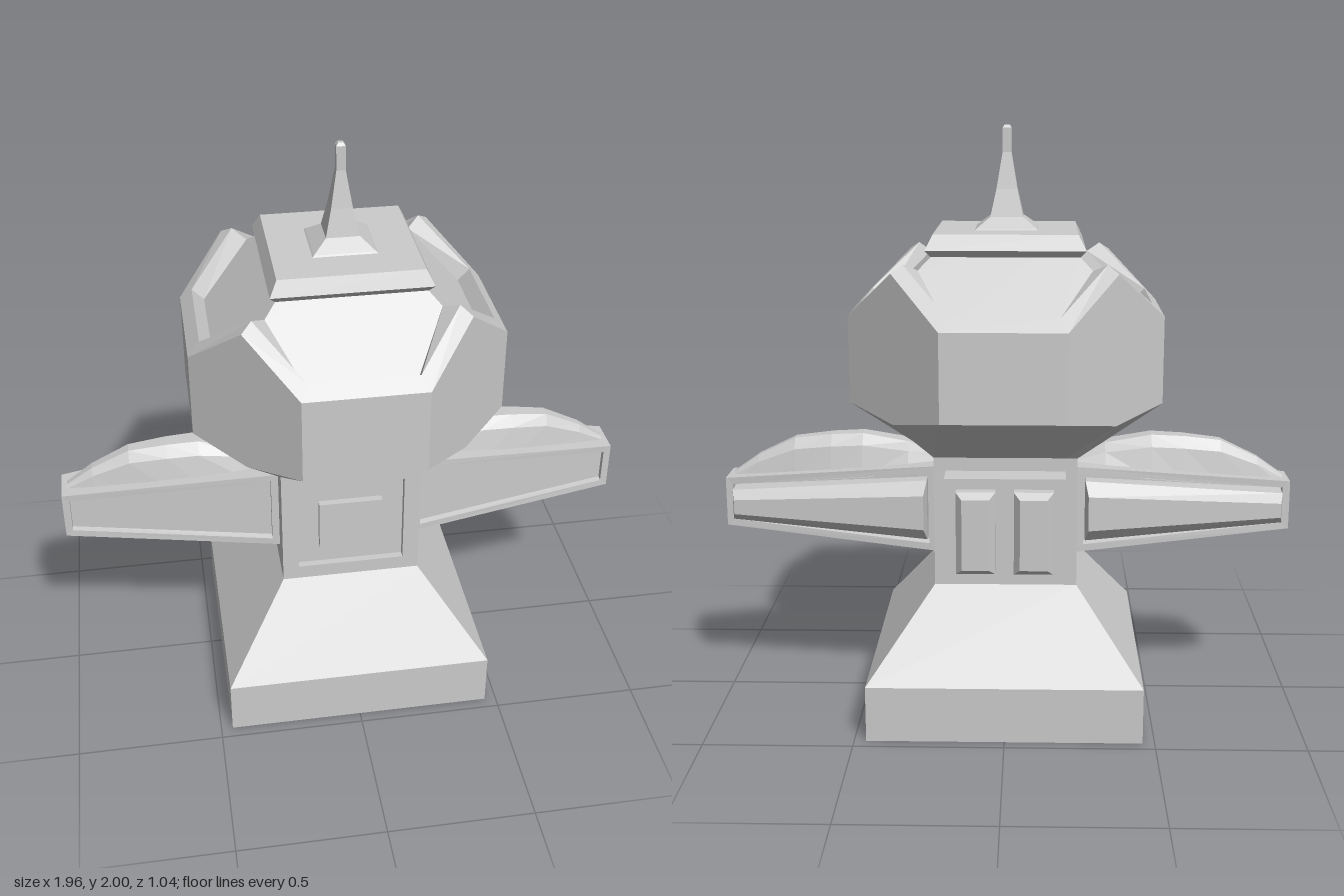
import * as THREE from 'three';

const material = new THREE.MeshStandardMaterial({ color: 0xcccccc, flatShading: true });

// Closed, flat-shaded solid through a list of equal-length rings of [x, y, z]
function loft(name, rings) {
  const tris = [];
  const n = rings[0].length;
  const center = (r) => [0, 1, 2].map((k) => r.reduce((s, p) => s + p[k], 0) / n);
  const first = rings[0], last = rings[rings.length - 1];
  const c0 = center(first), c1 = center(last);
  for (let j = 0; j < n; j++) {
    const k = (j + 1) % n;
    for (let i = 0; i < rings.length - 1; i++) {
      const a = rings[i], b = rings[i + 1];
      tris.push([a[j], a[k], b[k]], [a[j], b[k], b[j]]);
    }
    tris.push([c0, first[k], first[j]], [c1, last[j], last[k]]);
  }
  // Turn the faces outward whichever way the rings run
  const V = (p) => new THREE.Vector3(...p);
  const volume = tris.reduce((s, [a, b, c]) => s + V(a).dot(V(b).cross(V(c))), 0);
  if (volume < 0) tris.forEach((t) => t.reverse());
  const geometry = new THREE.BufferGeometry();
  geometry.setAttribute('position', new THREE.Float32BufferAttribute(tris.flat(2), 3));
  geometry.computeVertexNormals();
  const mesh = new THREE.Mesh(geometry, material);
  mesh.name = name;
  return mesh;
}

// Horizontal square ring
const square = (h, y) => [[h, y, h], [h, y, -h], [-h, y, -h], [-h, y, h]];

// Upright rectangle ring at depth z
const rect = (cx, cy, hx, hy, z) =>
  [[cx - hx, cy - hy, z], [cx + hx, cy - hy, z], [cx + hx, cy + hy, z], [cx - hx, cy + hy, z]];

// Twelve-point ring: two points on each side plus one on each diagonal
function headRing(a, d, y, c, cy) {
  const ring = [];
  for (let q = 0; q < 4; q++) {
    const cos = [1, 0, -1, 0][q], sin = [0, 1, 0, -1][q];
    for (const [x, py, z] of [[-a, y, d], [a, y, d], [c, cy, c]]) {
      ring.push([x * cos + z * sin, py, -x * sin + z * cos]);
    }
  }
  return ring;
}

function box(name, w, h, d, x, y, z) {
  const mesh = new THREE.Mesh(new THREE.BoxGeometry(w, h, d), material);
  mesh.position.set(x, y, z);
  mesh.name = name;
  return mesh;
}

function makeWing(side) {
  const wing = new THREE.Group();
  wing.name = side > 0 ? 'leftArm' : 'rightArm';

  // Tapered quad: root and tip given as [x, half height, z]
  const quad = ([x0, h0, z0], [x1, h1, z1]) => [
    [side * x0, 0.714 - h0, z0], [side * x1, 0.71 - h1, z1],
    [side * x1, 0.71 + h1, z1], [side * x0, 0.714 + h0, z0],
  ];

  // Arm with a sunken panel on both broad faces
  wing.add(loft('armFrame', [
    quad([0.265, 0.12, -0.115], [0.955, 0.06, -0.035]),
    quad([0.265, 0.125, -0.148], [0.955, 0.063, -0.067]),
    quad([0.22, 0.153, -0.153], [0.98, 0.085, -0.065]),
    quad([0.22, 0.153, 0.153], [0.98, 0.085, 0.065]),
    quad([0.265, 0.125, 0.148], [0.955, 0.063, 0.067]),
    quad([0.265, 0.12, 0.128], [0.955, 0.06, 0.047]),
  ]));

  // Bevelled pod filling the rear panel
  wing.add(loft('rearPod', [
    quad([0.27, 0.105, -0.11], [0.95, 0.055, -0.03]),
    quad([0.27, 0.105, -0.165], [0.95, 0.052, -0.1]),
    quad([0.28, 0.06, -0.205], [0.94, 0.025, -0.135]),
  ]));

  // Arched fin along the top
  const arch = [
    [0.23, 0.88, 0.105], [0.34, 0.922, 0.1], [0.5, 0.95, 0.09], [0.61, 0.945, 0.08],
    [0.74, 0.93, 0.062], [0.87, 0.868, 0.045], [0.96, 0.805, 0.03],
  ];
  wing.add(loft('topFin', arch.map(([x, top, w]) => {
    const base = 0.86 - (x - 0.24) * 0.09 - 0.03;
    const mid = base + (top - base) * 0.75;
    return [[w, base], [w * 0.72, mid], [w * 0.33, top], [-w * 0.33, top], [-w * 0.72, mid], [-w, base]]
      .map(([z, y]) => [side * x, y, z]);
  })));
  return wing;
}

export function createModel() {
  const model = new THREE.Group();
  model.name = 'figure';

  // Plinth
  model.add(loft('base', [square(0.46, 0), square(0.46, 0.19), square(0.24, 0.475)]));

  // Body with a framed front
  model.add(box('body', 0.48, 0.445, 0.455, 0, 0.6975, -0.0125));
  const face = new THREE.Shape([[-0.24, 0.475], [0.24, 0.475], [0.24, 0.92], [-0.24, 0.92]]
    .map((p) => new THREE.Vector2(...p)));
  face.holes.push(new THREE.Path([[-0.185, 0.525], [-0.185, 0.865], [0.185, 0.865], [0.185, 0.525]]
    .map((p) => new THREE.Vector2(...p))));
  const frame = new THREE.Mesh(
    new THREE.ExtrudeGeometry(face, { depth: 0.025, bevelEnabled: false }), material);
  frame.position.z = 0.215;
  frame.name = 'frontFrame';
  model.add(frame, box('frontPanel', 0.22, 0.18, 0.025, 0, 0.695, 0.2275));

  // Backpack with two bevelled pads
  model.add(box('backPlate', 0.4, 0.355, 0.11, 0, 0.6975, -0.285));
  for (const side of [1, -1]) {
    model.add(loft(side > 0 ? 'leftBackPad' : 'rightBackPad', [
      rect(side * 0.095, 0.7, 0.065, 0.14, -0.33),
      rect(side * 0.095, 0.7, 0.065, 0.14, -0.375),
      rect(side * 0.095, 0.7, 0.045, 0.12, -0.4),
    ]));
    model.add(makeWing(side));
  }

  // Faceted head: flared neck, upright walls, raised rim and sunken roof panels
  model.add(loft('head', [
    headRing(0.2, 0.24, 0.92, 0.24, 0.92),
    headRing(0.2, 0.52, 1.1, 0.36, 1.06),
    headRing(0.2, 0.52, 1.39, 0.36, 1.55),
    headRing(0.175, 0.48, 1.43, 0.325, 1.575),
    headRing(0.175, 0.44, 1.39, 0.28, 1.55),
    headRing(0.1, 0.235, 1.595, 0.235, 1.595),
  ]));

  // Cap slab and spire
  model.add(loft('cap', [
    square(0.235, 1.58), square(0.26, 1.61), square(0.235, 1.66),
  ]));
  model.add(loft('spire', [
    square(0.11, 1.655), square(0.1, 1.665), square(0.055, 1.7), square(0.035, 1.79),
    square(0.015, 1.91), square(0.015, 1.99), square(0.008, 2),
  ]));
  return model;
}
